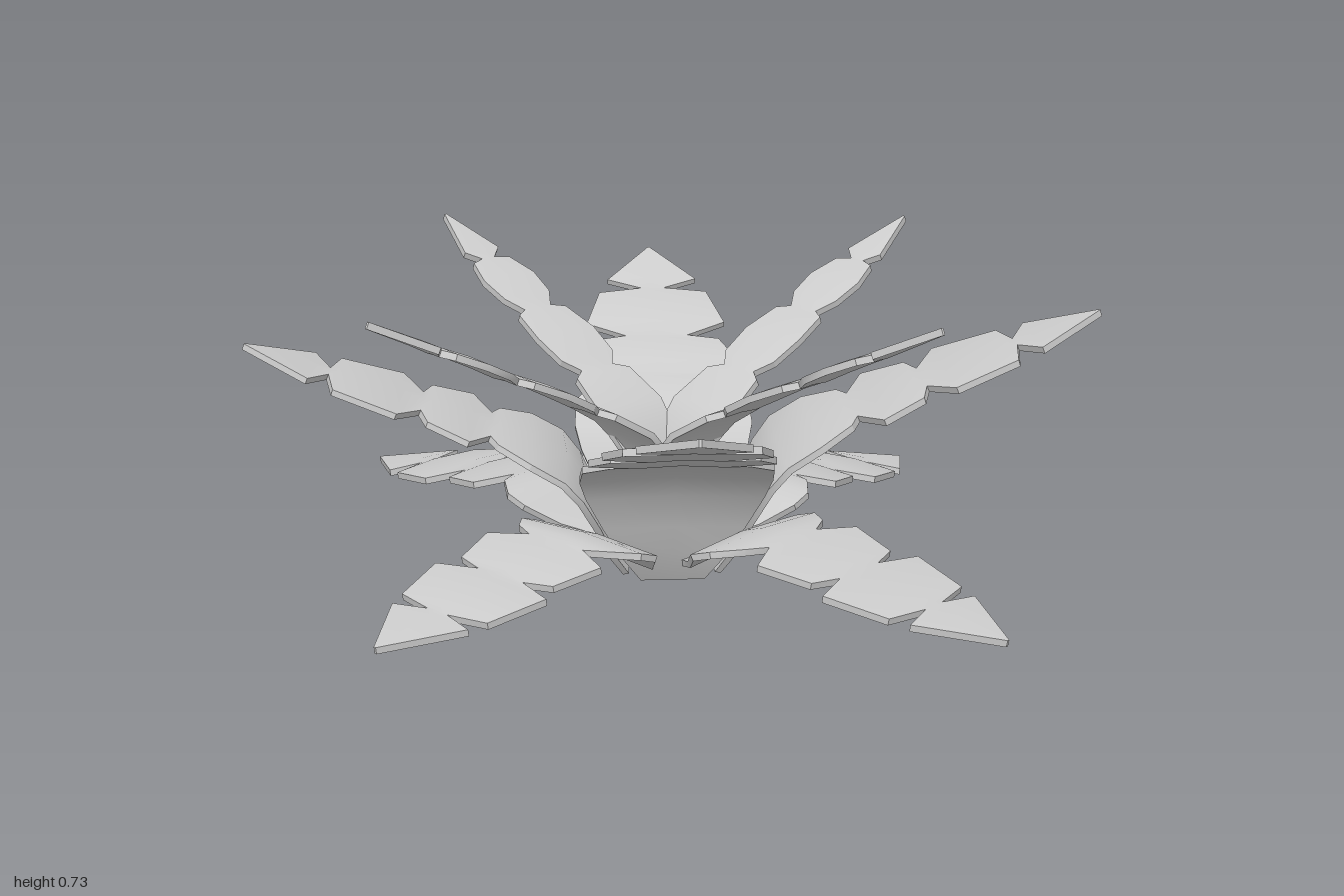
import * as THREE from 'three';
import { toCreasedNormals } from 'three/addons/utils/BufferGeometryUtils.js';

const THICK = 0.016;

// Leaf stations: [distance from the centre, height, half width]
const lowLeaf = [
  [0.0, 0.045, 0.025], [0.12, 0.055, 0.06], [0.2, 0.09, 0.13], [0.26, 0.14, 0.19],
  [0.32, 0.16, 0.19], [0.385, 0.166, 0.14], [0.41, 0.16, 0.085],
  [0.455, 0.157, 0.18], [0.58, 0.134, 0.145], [0.6, 0.127, 0.07],
  [0.635, 0.128, 0.175], [0.785, 0.1, 0.135], [0.805, 0.093, 0.03],
  [0.83, 0.093, 0.12], [1.0, 0.062, 0.003],
];
const broadLeaf = [
  [0.1, 0.004, 0.075], [0.14, 0.085, 0.125], [0.165, 0.16, 0.165], [0.205, 0.25, 0.205],
  [0.25, 0.31, 0.22], [0.33, 0.36, 0.215], [0.41, 0.392, 0.155], [0.43, 0.395, 0.1],
  [0.475, 0.42, 0.205], [0.575, 0.457, 0.16], [0.595, 0.459, 0.08],
  [0.645, 0.486, 0.18], [0.795, 0.538, 0.142], [0.815, 0.54, 0.03],
  [0.855, 0.56, 0.118], [1.015, 0.614, 0.003],
];
const uprightLeaf = [
  [-0.008, 0.06, 0.01], [0.002, 0.15, 0.025], [0.03, 0.24, 0.065], [0.075, 0.32, 0.095],
  [0.12, 0.37, 0.1], [0.22, 0.43, 0.085], [0.245, 0.438, 0.05],
  [0.28, 0.462, 0.082], [0.36, 0.506, 0.09], [0.45, 0.545, 0.075], [0.47, 0.549, 0.042],
  [0.51, 0.575, 0.072], [0.58, 0.611, 0.08], [0.65, 0.641, 0.058], [0.665, 0.643, 0.02],
  [0.69, 0.661, 0.054], [0.84, 0.73, 0.003],
];

// Loft a thin leaf along +x through six-point cross-sections
function leafGeometry(stations) {
  const pos = [], index = [], last = stations.length - 1;
  stations.forEach(([r, y, w], i) => {
    const p = stations[Math.max(i - 1, 0)], q = stations[Math.min(i + 1, last)];
    const len = Math.hypot(q[0] - p[0], q[1] - p[1]);
    const nx = -(q[1] - p[1]) / len, ny = (q[0] - p[0]) / len;
    const droop = 0.05 * w; // edges hang slightly below the midrib
    for (const [side, t] of [[-1, 0], [0, 0], [1, 0], [1, THICK], [0, THICK], [-1, THICK]]) {
      const d = t + Math.abs(side) * droop;
      pos.push(r - nx * d, Math.max(0, y - ny * d), side * w);
    }
  });
  for (let i = 0; i < last; i++) {
    for (let k = 0; k < 6; k++) {
      const a = i * 6 + k, b = i * 6 + (k + 1) % 6;
      index.push(a, b, a + 6, b, b + 6, a + 6);
    }
  }
  const e = last * 6;
  index.push(0, 5, 1, 1, 5, 4, 1, 4, 2, 2, 4, 3);
  index.push(e, e + 1, e + 5, e + 1, e + 4, e + 5, e + 1, e + 2, e + 4, e + 2, e + 3, e + 4);
  const g = new THREE.BufferGeometry();
  g.setAttribute('position', new THREE.Float32BufferAttribute(pos, 3));
  g.setIndex(index);
  return toCreasedNormals(g, 0.5);
}

export function createModel() {
  const model = new THREE.Group();
  model.name = 'plant';
  const leafGrey = new THREE.MeshStandardMaterial({ color: 0xcccccc });
  leafGrey.name = 'leaf grey';

  // Four leaves a quarter turn apart
  function whorl(name, stations, startAngle, place) {
    const group = new THREE.Group();
    group.name = name + 'Whorl';
    const geometry = leafGeometry(stations);
    for (let i = 0; i < 4; i++) {
      const leaf = new THREE.Mesh(geometry, leafGrey);
      leaf.name = name;
      leaf.rotation.y = -(startAngle + i * Math.PI / 2);
      place(leaf, i);
      group.add(leaf);
    }
    model.add(group);
  }

  // Low drooping leaves; the front and back pair is a little shorter
  whorl('lowLeaf', lowLeaf, 0, (leaf, i) => {
    if (i % 2) {
      leaf.position.x = 0.025;
      leaf.scale.x = 0.93;
    }
  });
  // Broad diagonal leaves; the two on the right side sit lower
  whorl('broadLeaf', broadLeaf, Math.PI / 4, (leaf, i) => {
    leaf.position.set(0.022, 0, -0.012);
    if (i === 1 || i === 2) leaf.scale.y = 0.91;
    if (i === 1) leaf.scale.x = 0.975;
  });
  // Narrow upright leaves, turned slightly off the axes
  whorl('uprightLeaf', uprightLeaf, 0.085, (leaf, i) => {
    leaf.position.z = -0.02;
    if (i === 1) leaf.rotation.y -= 0.025;
    if (i === 2) leaf.scale.x = 0.98;
  });

  return model;
}
